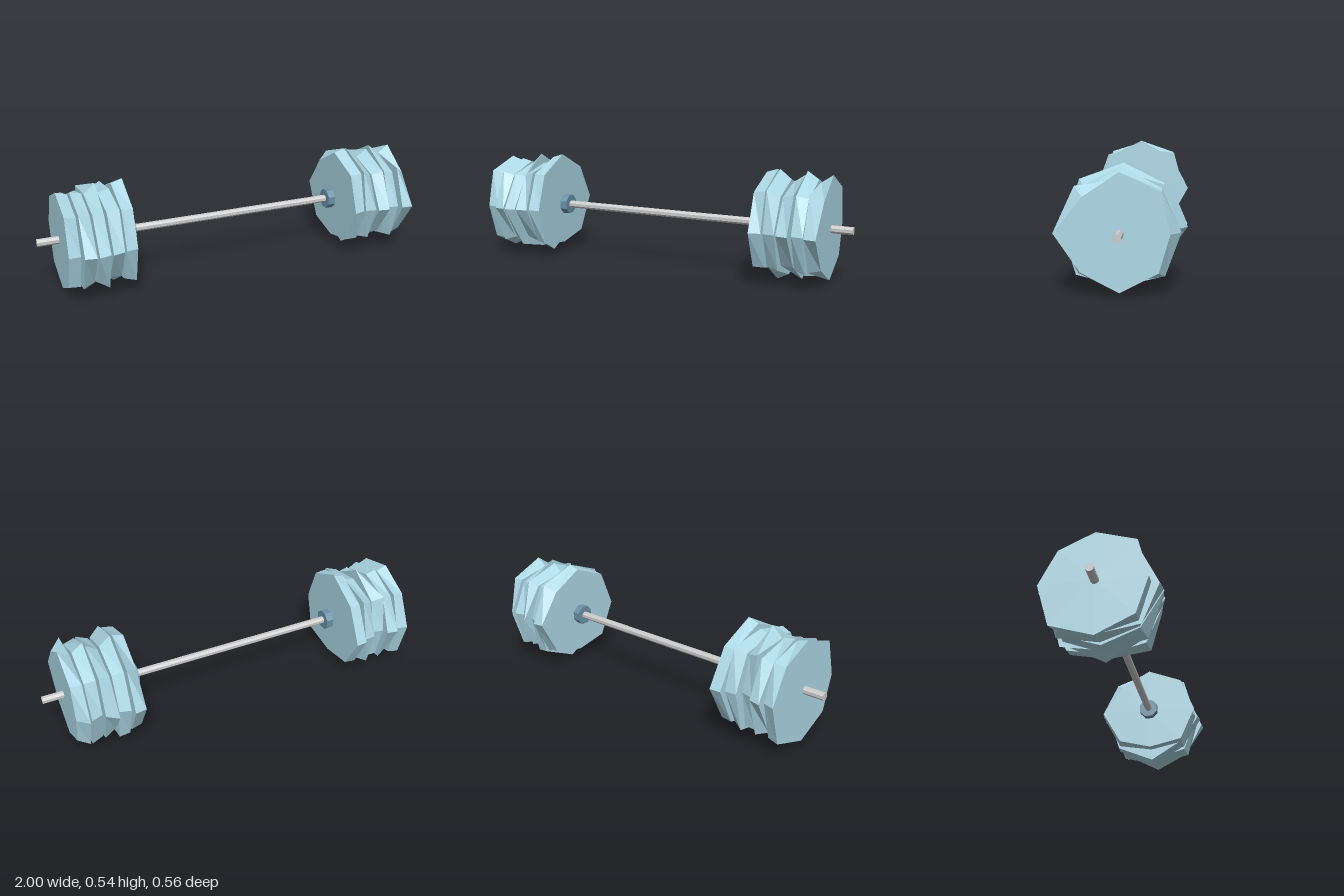
import * as THREE from 'three';

const AXIS_Y = 0.273;
const steel = new THREE.MeshStandardMaterial({ color: 0xcccccc, flatShading: true });
const plateBlue = new THREE.MeshStandardMaterial({ color: 0xadd8e6, flatShading: true });
const collarBlue = new THREE.MeshStandardMaterial({ color: 0x6a92a8, flatShading: true });

// Rim radii per plate, from the middle of the bar outward: [inner face, outer face].
// Four numbers are top, front, bottom, back; eight also give the corners between.
const LEFT_PLATES = [
  [[0.25, 0.255, 0.215, 0.27], [0.267, 0.24, 0.213, 0.278]],
  [[0.267, 0.24, 0.27, 0.25], [0.222, 0.25, 0.243, 0.235]],
  [[0.21, 0.26, 0.223, 0.28], [0.247, 0.27, 0.258, 0.24]],
  [[0.267, 0.24, 0.218, 0.22], [0.23, 0.245, 0.235, 0.24]],
  [[0.217, 0.27, 0.27, 0.25, 0.22, 0.265, 0.255, 0.247],
    [0.255, 0.215, 0.275, 0.23, 0.248, 0.23, 0.21, 0.247]],
];
const RIGHT_PLATES = [
  [[0.267, 0.24, 0.213, 0.278], [0.25, 0.25, 0.218, 0.273]],
  [[0.225, 0.255, 0.262, 0.25], [0.212, 0.27, 0.23, 0.245]],
  [[0.262, 0.265, 0.247, 0.21], [0.212, 0.275, 0.238, 0.222]],
  [[0.218, 0.275, 0.23, 0.25], [0.23, 0.265, 0.218, 0.262]],
  [[0.222, 0.23, 0.228, 0.235], [0.24, 0.23, 0.258, 0.25]],
];

// Repeatable variation for the corner radii
function cornerRadius(seed) {
  const s = Math.sin(seed * 12.9898) * 43758.5453;
  return 0.225 + 0.055 * (s - Math.floor(s));
}

function rimRadii(values, seed) {
  if (values.length === 8) return values;
  return Array.from({ length: 8 }, (_, i) => (i % 2 ? cornerRadius(seed + i) : values[i / 2]));
}

// Cylinder lying along x, with corners at the top, front, bottom and back
function rod(radius, length, sides) {
  return new THREE.CylinderGeometry(radius, radius, length, sides).rotateZ(-Math.PI / 2);
}

// Rough octagonal plate: each rim corner is pushed to its own radius
function plateGeometry(width, radiiLow, radiiHigh) {
  const geo = rod(1, width, 8);
  const p = geo.attributes.position;
  for (let i = 0; i < p.count; i++) {
    const y = p.getY(i), z = p.getZ(i);
    if (Math.hypot(y, z) < 0.5) continue;
    const k = (Math.round(Math.atan2(z, y) / (Math.PI / 4)) + 8) % 8;
    const r = (p.getX(i) < 0 ? radiiLow : radiiHigh)[k];
    p.setXYZ(i, p.getX(i), y * r, z * r);
  }
  geo.computeVertexNormals();
  return geo;
}

export function createModel() {
  const model = new THREE.Group();
  model.name = 'barbell';

  function add(name, geometry, material, x) {
    const mesh = new THREE.Mesh(geometry, material);
    mesh.name = name;
    mesh.position.set(x, AXIS_Y, 0);
    model.add(mesh);
  }

  // Bar
  add('bar', rod(0.019, 2, 8).rotateX(Math.PI / 8), steel, 0);

  for (const side of [1, -1]) {
    const label = side > 0 ? 'left' : 'right';

    // Collar that stops the plates
    add(`${label}Collar`, rod(0.052, 0.038, 8).rotateX(Math.PI / 8), collarBlue, side * 0.545);

    // Stack of plates
    (side > 0 ? LEFT_PLATES : RIGHT_PLATES).forEach(([inner, outer], i) => {
      const seed = (side > 0 ? 20 : 220) + i * 20;
      const a = rimRadii(inner, seed), b = rimRadii(outer, seed + 10);
      const geo = side > 0 ? plateGeometry(0.056, a, b) : plateGeometry(0.056, b, a);
      add(`${label}Plate${i + 1}`, geo, plateBlue, side * (0.602 + i * 0.0665));
    });
  }

  return model;
}
